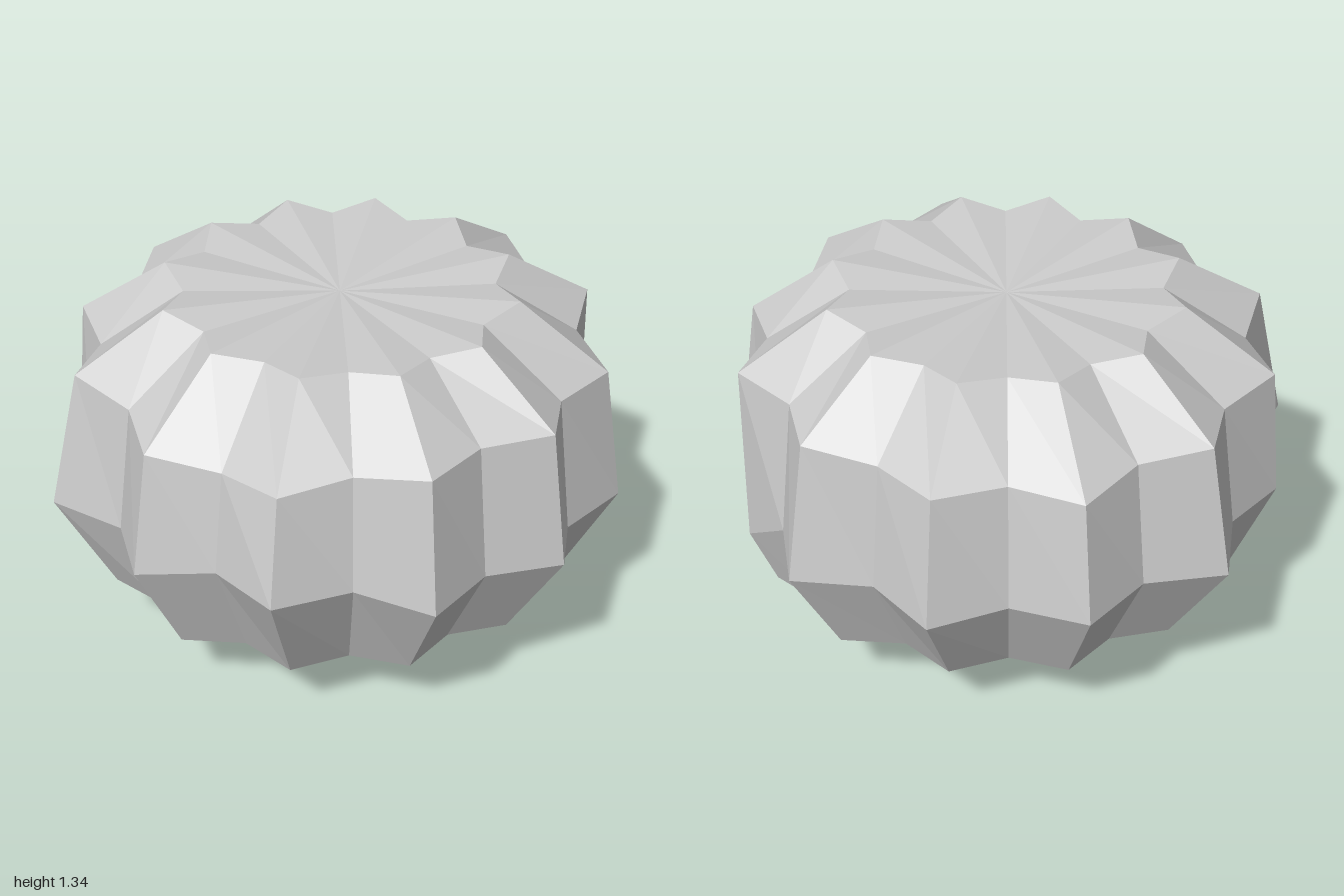
import * as THREE from 'three';

const LOBES = 12, COLS = LOBES * 2, AXIS_X = 0.045;

// Rings from top to bottom: height and radius on ridges and in grooves
const RINGS = [
  { y: 1.335, ridge: 0.615, groove: 0.53, dip: 0.022 },
  { y: 1.12, ridge: 0.925, groove: 0.82, dip: 0 },
  { y: 0.65, ridge: 1.0, groove: 0.88, dip: 0 },
  { y: 0.27, ridge: 0.78, groove: 0.69, dip: 0 },
  { y: 0.062, ridge: 0.38, groove: 0.335, dip: 0 },
];

// Hand-shaped irregularities, counted from the front towards the left side
const SHOULDER_Y = [1.14, 1.13, 1.135, 1.1, 1.1, 1.12, 1.14, 1.13, 1.14, 1.1, 1.105, 1.1,
  1.08, 1.1, 1.12, 1.1, 1.12, 1.11, 1.14, 1.11, 1.1, 1.06, 1.09, 1.11];
const BELLY_Y = [0.66, 0.655, 0.65, 0.6, 0.605, 0.54, 0.46, 0.63, 0.64, 0.65, 0.65, 0.655,
  0.655, 0.655, 0.655, 0.655, 0.65, 0.65, 0.64, 0.65, 0.66, 0.7, 0.73, 0.7];
const BELLY_R = [1, 1, 1, 0.94, 1.015, 1.01, 1, 1.02, 0.965, 1.035, 1, 1.03];

function ringPoint(r, k) {
  k %= COLS;
  const ring = RINGS[r], a = (k / COLS) * Math.PI * 2, isRidge = k % 2 === 0;
  const s = Math.sin(a);
  let radius = isRidge ? ring.ridge : ring.groove;
  let y = ring.y - (isRidge ? 0 : ring.dip);
  if (r === 1) y = SHOULDER_Y[k];
  if (r === 2) {
    y = BELLY_Y[k];
    if (isRidge) radius = BELLY_R[k / 2];
  }
  // The underside sags outwards at both sides
  const sag = Math.abs(s) ** 5;
  if (r === 3) {
    radius += sag * (s > 0 ? 0.075 : 0.055);
    y -= sag * (s > 0 ? 0.03 : 0.02);
  }
  if (r === 4) {
    radius += sag * (s > 0 ? 0.045 : 0.025);
    y -= sag * (s > 0 ? 0.062 : 0.032);
  }
  return [AXIS_X + radius * s, y, radius * Math.cos(a)];
}

function flatMesh(name, positions, material) {
  const geometry = new THREE.BufferGeometry();
  geometry.setAttribute('position', new THREE.Float32BufferAttribute(positions, 3));
  geometry.computeVertexNormals();
  const mesh = new THREE.Mesh(geometry, material);
  mesh.name = name;
  return mesh;
}

export function createModel() {
  const group = new THREE.Group();
  group.name = 'ribbedGourd';
  const material = new THREE.MeshStandardMaterial({
    color: 0xcccccc, flatShading: true, side: THREE.DoubleSide,
  });

  // Ribbed shell, open at the bottom
  const shell = [];
  for (let r = 0; r < RINGS.length - 1; r++) {
    for (let k = 0; k < COLS; k++) {
      const a = ringPoint(r, k), b = ringPoint(r, k + 1);
      const c = ringPoint(r + 1, k), d = ringPoint(r + 1, k + 1);
      shell.push(...a, ...c, ...d, ...a, ...d, ...b);
    }
  }
  group.add(flatMesh('ribbedShell', shell, material));

  // Shallow dished top, a fan around the centre
  const top = [];
  for (let k = 0; k < COLS; k++) {
    top.push(AXIS_X, 1.3, 0, ...ringPoint(0, k), ...ringPoint(0, k + 1));
  }
  group.add(flatMesh('dishedTop', top, material));

  return group;
}
